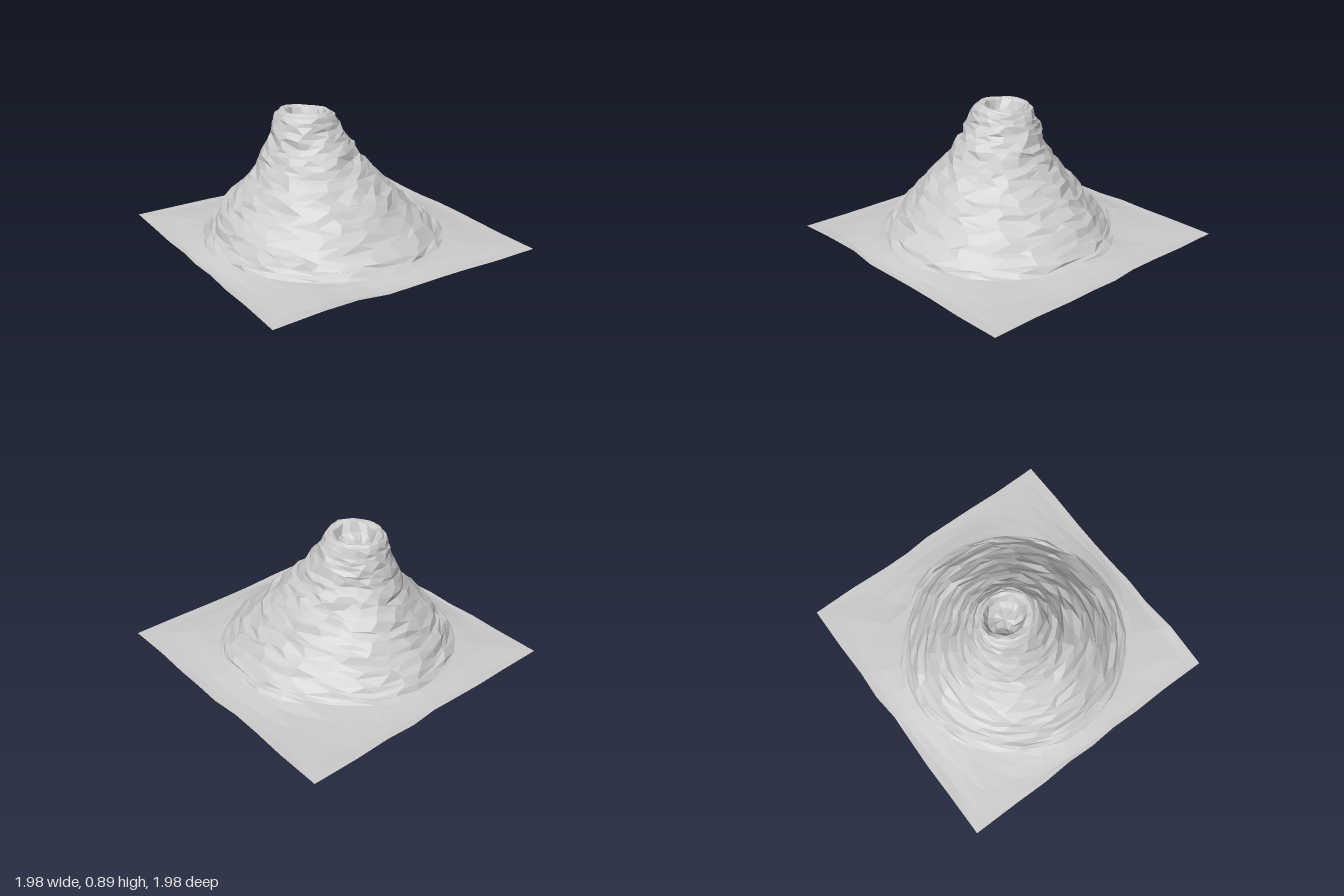
import * as THREE from 'three';

const FOOT_SEGMENTS = 32;

// Small seeded noise, returns -1..1
function seeded(seed) {
  return () => {
    seed = (seed * 1664525 + 1013904223) % 4294967296;
    return (seed / 4294967296) * 2 - 1;
  };
}

// Cross-sections as [height, left x, right x, back z, front z]
const CRATER = [
  [0.79, -0.18, -0.04, -0.16, -0.02],
  [0.82, -0.22, 0.0, -0.205, 0.025],
  [0.875, -0.25, 0.02, -0.23, 0.05],
];
const SLOPE = [
  [0.885, -0.285, 0.03, -0.255, 0.085],
  [0.86, -0.32, 0.065, -0.29, 0.125],
  [0.78, -0.355, 0.105, -0.31, 0.16],
  [0.7, -0.38, 0.15, -0.335, 0.21],
  [0.6, -0.43, 0.21, -0.375, 0.28],
  [0.5, -0.485, 0.29, -0.425, 0.365],
  [0.4, -0.575, 0.385, -0.5, 0.48],
  [0.3, -0.68, 0.49, -0.585, 0.565],
  [0.2, -0.755, 0.6, -0.67, 0.66],
  [0.1, -0.815, 0.695, -0.755, 0.775],
  [0.05, -0.87, 0.765, -0.81, 0.835],
];
const APRON_STEPS = [0.2, 0.5, 0.78, 1];

// Inserts two steps between neighbouring cross-sections
function subdivide(rows) {
  return rows.flatMap((row, i) => {
    const next = rows[i + 1];
    if (!next) return [row];
    return [0, 1 / 3, 2 / 3].map((t) => row.map((v, k) => THREE.MathUtils.lerp(v, next[k], t)));
  });
}

// One closed elliptical ring, with fewer corners the higher it lies
function ringPoints([y, left, right, back, front], rough, noise) {
  const cx = (left + right) / 2, cz = (back + front) / 2;
  const rx = (right - left) / 2, rz = (front - back) / 2;
  const count = Math.round(FOOT_SEGMENTS - 21 * (y - 0.05));
  const points = [];
  for (let i = 0; i < count; i++) {
    const a = ((i + 0.3 * rough * noise()) / count) * Math.PI * 2;
    const c = Math.cos(a), s = Math.sin(a);
    // shallow gully in the back left flank
    const gully = 1 - 0.07 * Math.exp(-(((a - 5.5) / 0.3) ** 2)) * (y < 0.7 ? 1 : 0.3);
    const bump = 0.012 * rough * noise();
    const tilt = y > 0.8 ? 0.008 * (c - s) : 0;
    points.push(new THREE.Vector3(
      cx + c * (rx * gully + bump),
      y + 0.016 * rough * noise() - tilt,
      cz + s * (rz * gully + bump),
    ));
  }
  return points;
}

// Ring between the foot of the slope and the wavy square border
function apronRing(foot, t, noise) {
  return foot.map((p, i) => {
    const a = (i / FOOT_SEGMENTS) * Math.PI * 2;
    const c = Math.cos(a), s = Math.sin(a);
    const k = 0.98 / Math.max(Math.abs(c), Math.abs(s));
    const edge = new THREE.Vector3(c * k - 0.007, 0, s * k);
    if (t === 1) {
      // ripple only across the border line
      if (Math.abs(c) > Math.abs(s) + 0.01) edge.x += 0.01 * noise();
      else if (Math.abs(s) > Math.abs(c) + 0.01) edge.z += 0.01 * noise();
    }
    const x = THREE.MathUtils.lerp(p.x, edge.x, t);
    const z = THREE.MathUtils.lerp(p.z, edge.z, t);
    // soft swell on the front border and a dip at the back left
    const swell = 0.028 * Math.exp(-(((x + 0.6) / 0.25) ** 2) - (((z - 1) / 0.25) ** 2));
    const dip = 0.014 * Math.exp(-(((x - 0.68) / 0.2) ** 2) - (((z + 0.48) / 0.2) ** 2));
    const y = THREE.MathUtils.lerp(p.y, 0.018, Math.min(1, t * 1.5));
    return new THREE.Vector3(x, y + swell - dip + 0.002 * noise(), z);
  });
}

// Triangles between an inner and an outer ring of any corner counts
function stitch(inner, outer) {
  const points = [];
  const n = inner.length, m = outer.length;
  let i = 0, k = 0;
  while (i < n || k < m) {
    const a = inner[i % n], b = outer[k % m];
    if ((i + 1) * m <= (k + 1) * n) points.push(a, inner[++i % n], b);
    else points.push(a, outer[++k % m], b);
  }
  return points;
}

// Faceted surface joining consecutive rings, seen from both sides
function loft(name, rings) {
  const points = rings.slice(1).flatMap((ring, j) => stitch(rings[j], ring));
  const geometry = new THREE.BufferGeometry().setFromPoints(points);
  geometry.computeVertexNormals();
  const mesh = new THREE.Mesh(geometry, new THREE.MeshStandardMaterial({
    color: 0xcccccc, flatShading: true, side: THREE.DoubleSide,
  }));
  mesh.name = name;
  return mesh;
}

export function createModel() {
  const noise = seeded(17);
  const group = new THREE.Group();
  group.name = 'volcano';

  // Rugged flank, calmer at the rim and even at the foot
  const slope = subdivide(SLOPE).map((row) => {
    const rough = row[0] > 0.8 ? 0.45 : row[0] > 0.06 ? 1 : 0;
    return ringPoints(row, rough, noise);
  });

  // Shallow crater from its floor centre out to the rim
  const crater = [
    [new THREE.Vector3(-0.11, 0.785, -0.09)],
    ...CRATER.map((row) => ringPoints(row, 0.6, noise)),
    slope[0],
  ];

  // Flat ground sheet around the foot
  const foot = slope[slope.length - 1];
  const apron = [foot, ...APRON_STEPS.map((t) => apronRing(foot, t, noise))];

  group.add(loft('crater', crater), loft('slope', slope), loft('ground', apron));
  return group;
}
